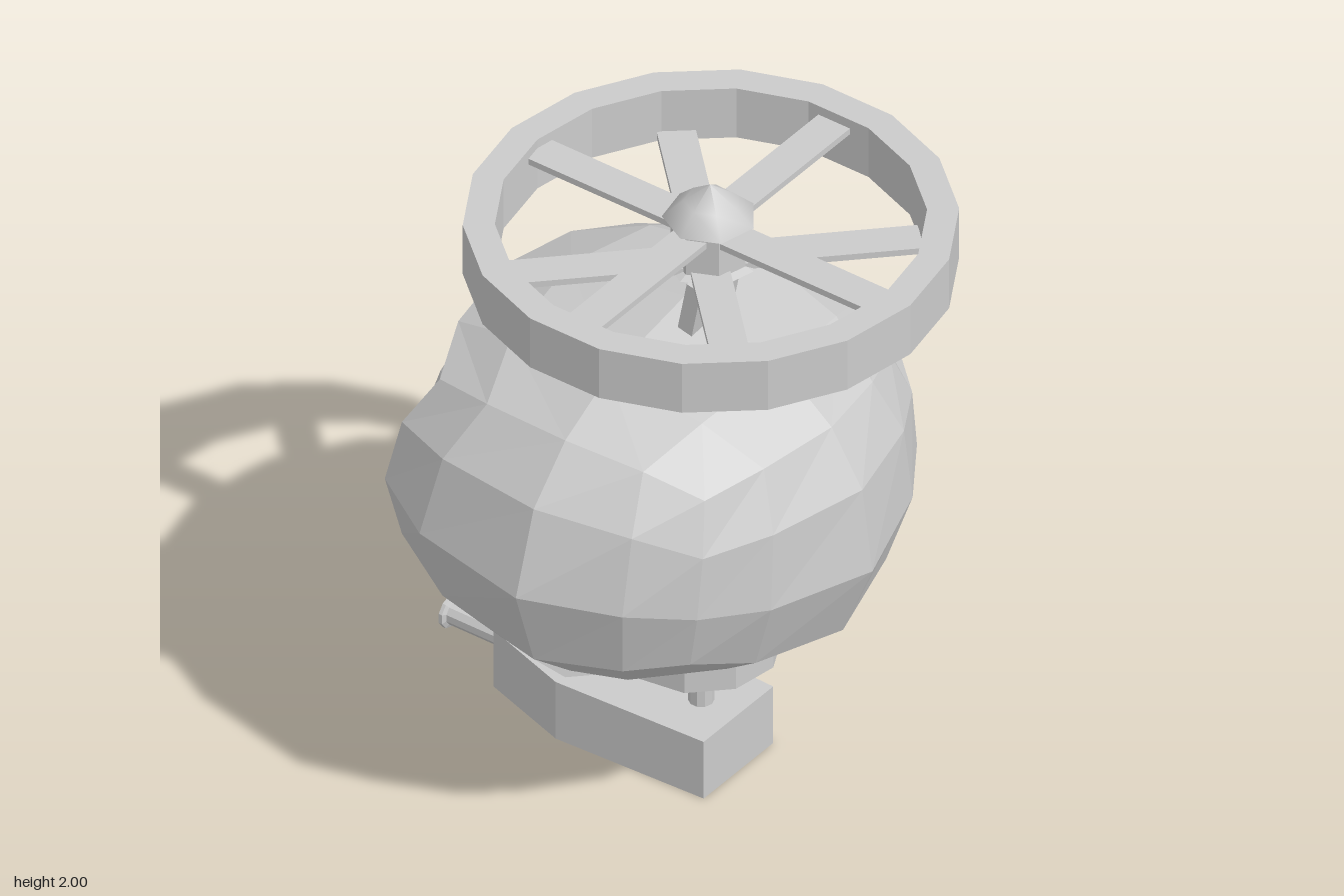
import * as THREE from 'three';

const mat = new THREE.MeshStandardMaterial({ color: 0xcccccc, flatShading: true, side: THREE.DoubleSide });
const smoothMat = new THREE.MeshStandardMaterial({ color: 0xcccccc, side: THREE.DoubleSide });

function add(parent, name, geometry, x = 0, y = 0, z = 0, material = mat) {
  const mesh = new THREE.Mesh(geometry, material);
  mesh.name = name;
  mesh.position.set(x, y, z);
  parent.add(mesh);
  return mesh;
}

const lathe = (pts, sides, start = 0) =>
  new THREE.LatheGeometry(pts.map(([r, y]) => new THREE.Vector2(r, y)), sides, start);

// Triangles of a cube-sphere that pass a test, each corner moved by a rule.
// Box faces run +x, -x, +y, -y, +z, -z with 32 triangles each.
function spherePatch(test, rule) {
  const p = new THREE.BoxGeometry(2, 2, 2, 4, 4, 4).toNonIndexed().attributes.position;
  const out = [];
  for (let i = 0; i < p.count; i += 3) {
    const tri = [0, 1, 2].map(k => new THREE.Vector3().fromBufferAttribute(p, i + k).normalize());
    if (test(tri, Math.floor(i / 96))) tri.forEach(v => out.push(...rule(v).toArray()));
  }
  return surface(out);
}

function surface(positions) {
  const g = new THREE.BufferGeometry();
  g.setAttribute('position', new THREE.Float32BufferAttribute(positions, 3));
  g.computeVertexNormals();
  return g;
}

// Body radii across and up
const RX = 0.79, RY = 0.583;

// Rear ellipsoid, scaled about the body's centre
const rear = (v, s = 1) => new THREE.Vector3(RX * v.x * s, RY * v.y * s, 0.89 * v.z * s);

// Front shell: slimmer at the cheeks, tipped forward and flattened under the chin
function front(v) {
  const slim = 1 - 0.16 * Math.abs(v.x * v.z);
  const p = new THREE.Vector3(RX * v.x * slim, RY * v.y, 0.66 * v.z * slim);
  p.applyAxisAngle(new THREE.Vector3(1, 0, 0), 0.13 * Math.min(1, v.z * 1.3));
  if (v.y < -0.55) {
    p.x *= 0.96;
    p.y += 0.01;
    p.z *= 0.87;
  }
  p.y = Math.max(p.y, -0.465);
  return p;
}

function buildBody() {
  const body = new THREE.Group();
  body.name = 'body';
  body.position.set(0, 0.996, 0.02);
  const e = 1e-4;
  add(body, 'rearShell', spherePatch((t, f) => f !== 5 && t.every(v => v.z < e), v => rear(v)));
  add(body, 'frontShell', spherePatch(t => t.every(v => v.z > -e), front));
  add(body, 'rearPanel', spherePatch((t, f) => f === 5, v => rear(v, 0.88)));

  // Lip around the recessed rear panel
  const rim = [];
  const corners = [[-1, -1], [1, -1], [1, 1], [-1, 1]];
  corners.forEach(([x, y], i) => {
    const [nx, ny] = corners[(i + 1) % 4];
    for (let k = 0; k < 4; k++) {
      rim.push(new THREE.Vector3(x + (nx - x) * k / 4, y + (ny - y) * k / 4, -1).normalize());
    }
  });
  const lip = [];
  rim.forEach((v, i) => {
    const w = rim[(i + 1) % rim.length];
    const [a, b, c, d] = [rear(v), rear(w), rear(w, 0.88), rear(v, 0.88)];
    [a, b, c, a, c, d].forEach(p => lip.push(...p.toArray()));
  });
  add(body, 'rearLip', surface(lip));

  // Wall closing the lower rear shell behind the chin
  const wall = new THREE.Shape([[-1, -0.5], [-1, -1], [-0.5, -1], [0, -1], [0.5, -1], [1, -1], [1, -0.5]].map(([x, y]) => {
    const l = Math.hypot(x, y);
    return new THREE.Vector2(RX * x / l, RY * y / l);
  }));
  add(body, 'chinWall', new THREE.ShapeGeometry(wall));
  return body;
}

function buildRotor() {
  const rotor = new THREE.Group();
  rotor.name = 'rotor';
  rotor.position.set(-0.005, 0, 0.115);
  add(rotor, 'rotorRing',
    lathe([[0.605, 1.73], [0.695, 1.73], [0.695, 1.9], [0.605, 1.9], [0.605, 1.73]], 18));

  // Crossed bars: the straight pair sits above the diagonal pair
  for (let i = 0; i < 4; i++) {
    const y = i % 2 ? 1.75 : 1.86;
    add(rotor, 'spokes', new THREE.BoxGeometry(1.21, 0.02, 0.11), 0, y, -0.015).rotation.y = i * Math.PI / 4;
  }
  add(rotor, 'hub', lathe([[0, 1.65], [0.135, 1.74], [0.11, 1.75], [0.11, 1.89]], 7, 0.2), 0.012, 0, -0.012);
  add(rotor, 'hubCap', lathe([[0.11, 1.885], [0.135, 1.89], [0.075, 1.945], [0, 2]], 7, 0.2), 0.012, 0, -0.012, smoothMat);
  return rotor;
}

function buildBase() {
  const base = new THREE.Group();
  base.name = 'base';
  base.position.x = 0.007;
  // Plan outline, extruded upward; shape y becomes -z
  const plan = new THREE.Shape([
    [-0.16, -0.2], [0.165, -0.2], [0.182, 0.3], [0.09, 0.585], [-0.09, 0.585], [-0.182, 0.3],
  ].map(([x, y]) => new THREE.Vector2(x, y)));
  const g = new THREE.ExtrudeGeometry(plan, { depth: 0.197, bevelEnabled: false });
  g.rotateX(-Math.PI / 2);
  add(base, 'foot', g);

  // Hollow rear nozzle with a collar and a flared mouth
  const nozzle = lathe([
    [0.05, 0], [0.05, 0.015], [0.036, 0.022], [0.036, 0.208], [0.05, 0.214], [0.05, 0.225], [0.03, 0.225], [0.03, 0.1], [0, 0.1],
  ], 10);
  nozzle.rotateX(-Math.PI / 2);
  add(base, 'nozzle', nozzle, 0.003, 0.11, -0.585);
  return base;
}

export function createModel() {
  const model = new THREE.Group();
  model.name = 'model';
  model.add(buildBody(), buildRotor(), buildBase());

  // Leaning mast between body and rotor
  add(model, 'mast', new THREE.BoxGeometry(0.195, 0.18, 0.05), 0, 1.62, 0.107).rotation.x = 0.19;

  // Open collar under the body, with the shaft running through it
  add(model, 'collar', lathe([[0.185, 0.39], [0.235, 0.39], [0.235, 0.53], [0.185, 0.53], [0.185, 0.39]], 10, 0.15), 0, 0, 0.07);
  add(model, 'shaft', new THREE.CylinderGeometry(0.037, 0.037, 0.42, 10), 0.003, 0.38, 0.075);
  return model;
}
